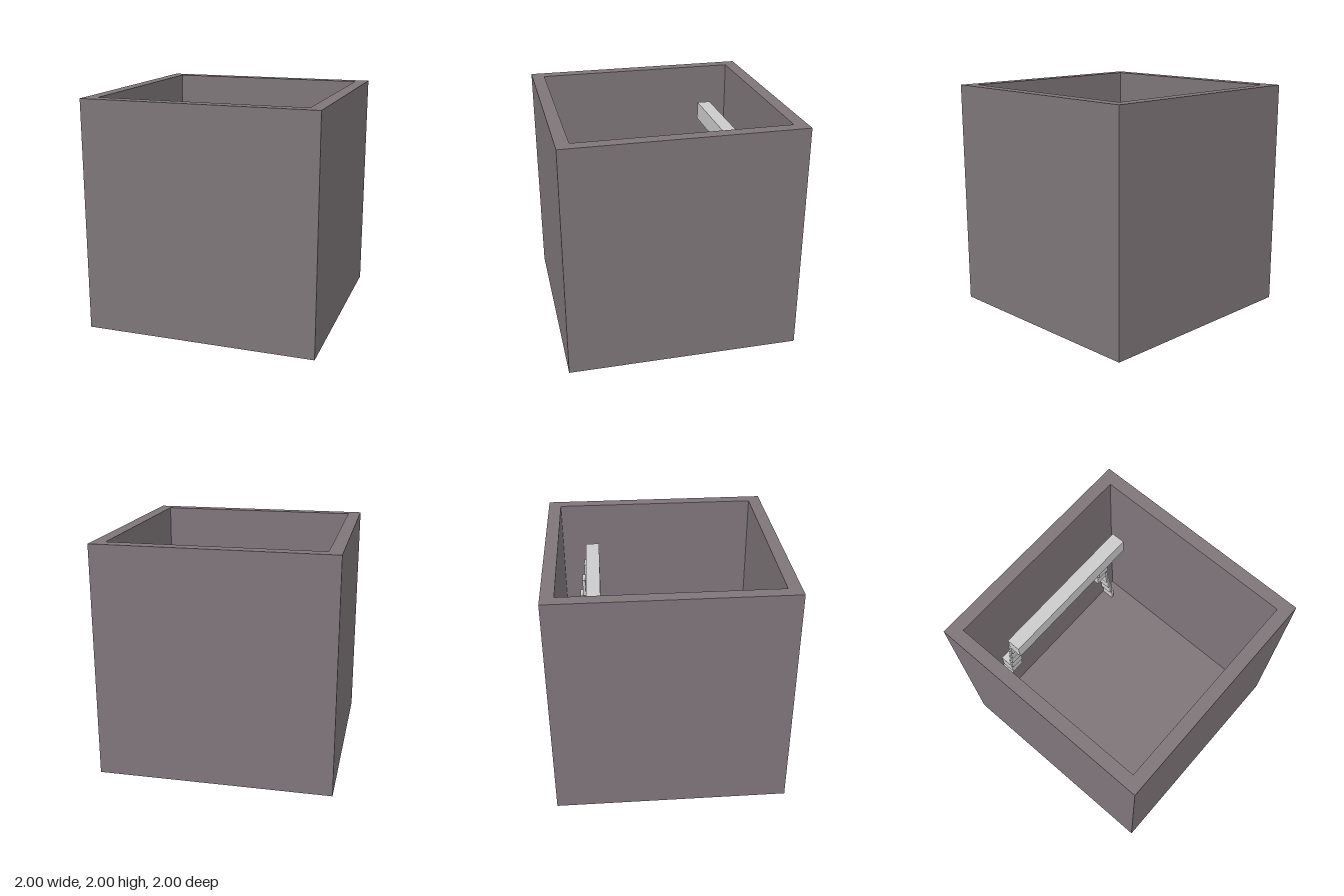
import * as THREE from 'three';

export function createModel() {
  const model = new THREE.Group();
  const shellMat = new THREE.MeshStandardMaterial({ color: 0x7f767a });
  const frameMat = new THREE.MeshStandardMaterial({ color: 0xcccccc });

  // Box from its lower and upper corners
  function block(name, material, [x0, y0, z0], [x1, y1, z1], parent = model) {
    const mesh = new THREE.Mesh(new THREE.BoxGeometry(x1 - x0, y1 - y0, z1 - z0), material);
    mesh.position.set((x0 + x1) / 2, (y0 + y1) / 2, (z0 + z1) / 2);
    mesh.name = name;
    parent.add(mesh);
  }

  // Open-topped box: square ring of walls and a floor
  const inner = 0.89, floorTop = 0.11;
  const square = (r) => [[-r, -r], [r, -r], [r, r], [-r, r]].map(([x, y]) => new THREE.Vector2(x, y));
  const ring = new THREE.Shape(square(1));
  ring.holes.push(new THREE.Path(square(inner).reverse()));
  const wallGeo = new THREE.ExtrudeGeometry(ring, { depth: 2, bevelEnabled: false });
  wallGeo.rotateX(-Math.PI / 2);
  const walls = new THREE.Mesh(wallGeo, shellMat);
  walls.name = 'walls';
  model.add(walls);
  block('floor', shellMat, [-inner, 0, -inner], [inner, floorTop, inner]);

  // Stepped frame inside, in ten equal levels up from the floor
  const rise = 0.16, step = 0.0255, width = 0.12;
  const edge = 0.665, corner = -0.77;
  const level = (i) => floorTop + i * rise;

  for (const side of [1, -1]) {
    const leg = new THREE.Group();
    leg.name = side > 0 ? 'leftLeg' : 'rightLeg';
    const part = (name, x0, x1, i, z0, z1) => block(name, frameMat,
      [Math.min(side * x0, side * x1), level(i), z0],
      [Math.max(side * x0, side * x1), level(i + 1), z1], leg);

    for (let i = 0; i < 4; i++) {
      // Lower slabs lean outward, upper slabs lean forward
      const out = edge + (3 - i) * step;
      part('lowerSlab', out, out + step, i, -inner, corner);
      part('upperSlab', edge - width, edge, i + 5, corner + i * step, corner + (i + 1) * step);
    }
    part('cornerBlock', edge - width, edge, 4, -inner, corner);
    model.add(leg);
  }

  // Bar across the top of both legs
  block('topBar', frameMat, [-edge, level(9), -0.668], [edge, level(10), -0.548]);

  return model;
}
